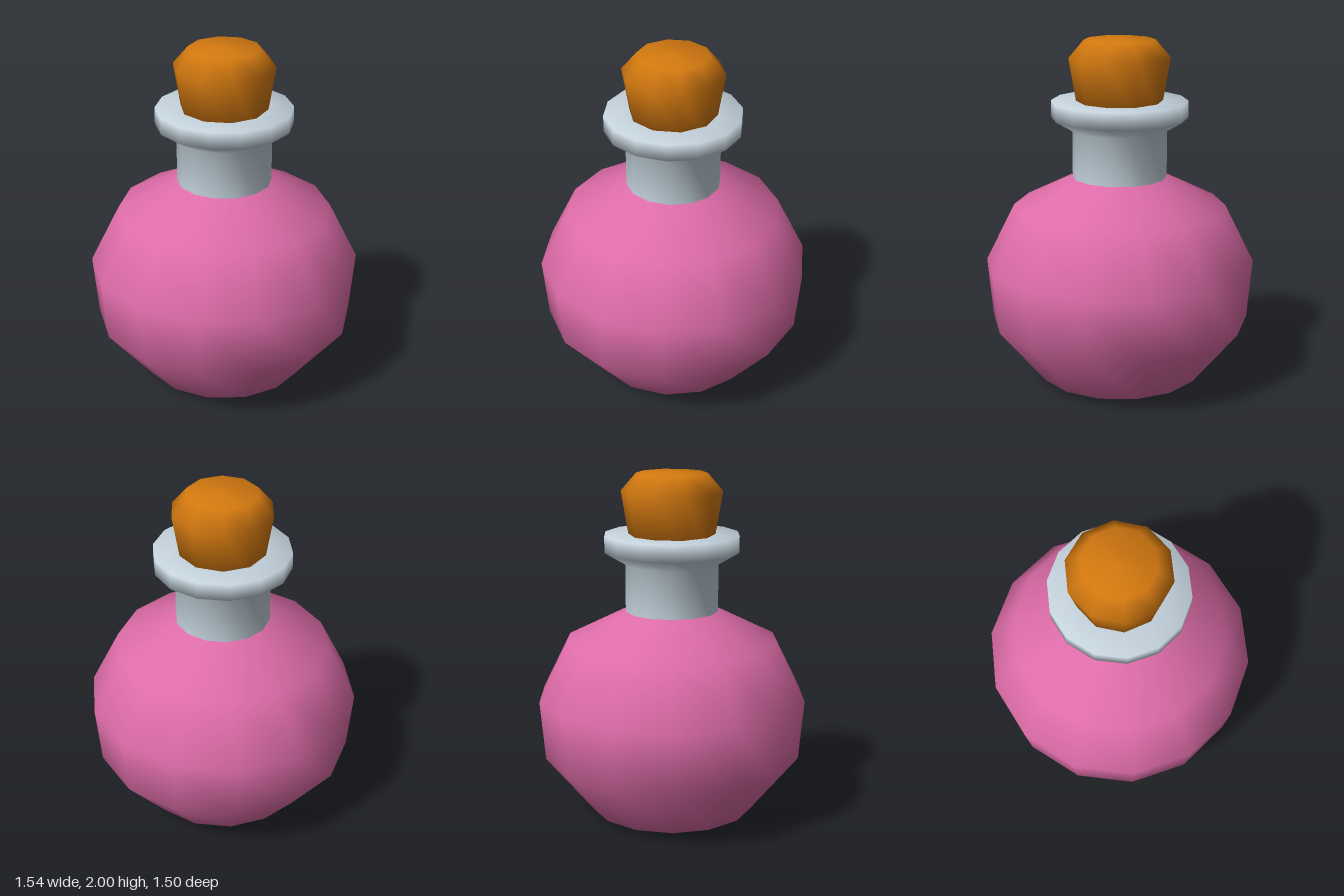
import * as THREE from 'three';

const material = (name, color) => {
  const m = new THREE.MeshStandardMaterial({ color });
  m.name = name;
  return m;
};

// Revolves a bottom-to-top profile, with a corner on the x axis
function turned(name, profile, sides, mat) {
  const points = profile.map(([r, y]) => new THREE.Vector2(r, y));
  const mesh = new THREE.Mesh(new THREE.LatheGeometry(points, sides, Math.PI / 2), mat);
  mesh.name = name;
  return mesh;
}

export function createModel() {
  const group = new THREE.Group();
  group.name = 'potionBottle';
  const pink = material('pink liquid', 0xdd6ca8);
  const glass = material('pale glass', 0xc4d2dc);
  const cork = material('orange cork', 0xd2780f);

  group.add(
    // Round flask with a shallow pointed base
    turned('flaskBody', [
      [0, 0], [0.47, 0.04], [0.74, 0.37], [0.77, 0.71], [0.605, 1.04], [0.267, 1.21],
    ], 14, pink),
    // Straight neck flaring into a collar, closed inward around the stopper
    turned('neckAndCollar', [
      [0.267, 1.21], [0.267, 1.48], [0.385, 1.55], [0.385, 1.645], [0.2, 1.645],
    ], 14, glass),
    // Tapered stopper with a bevelled, slightly domed top
    turned('stopper', [
      [0, 1.58], [0.234, 1.58], [0.285, 1.885], [0.2, 1.985], [0, 2],
    ], 10, cork),
  );
  return group;
}
